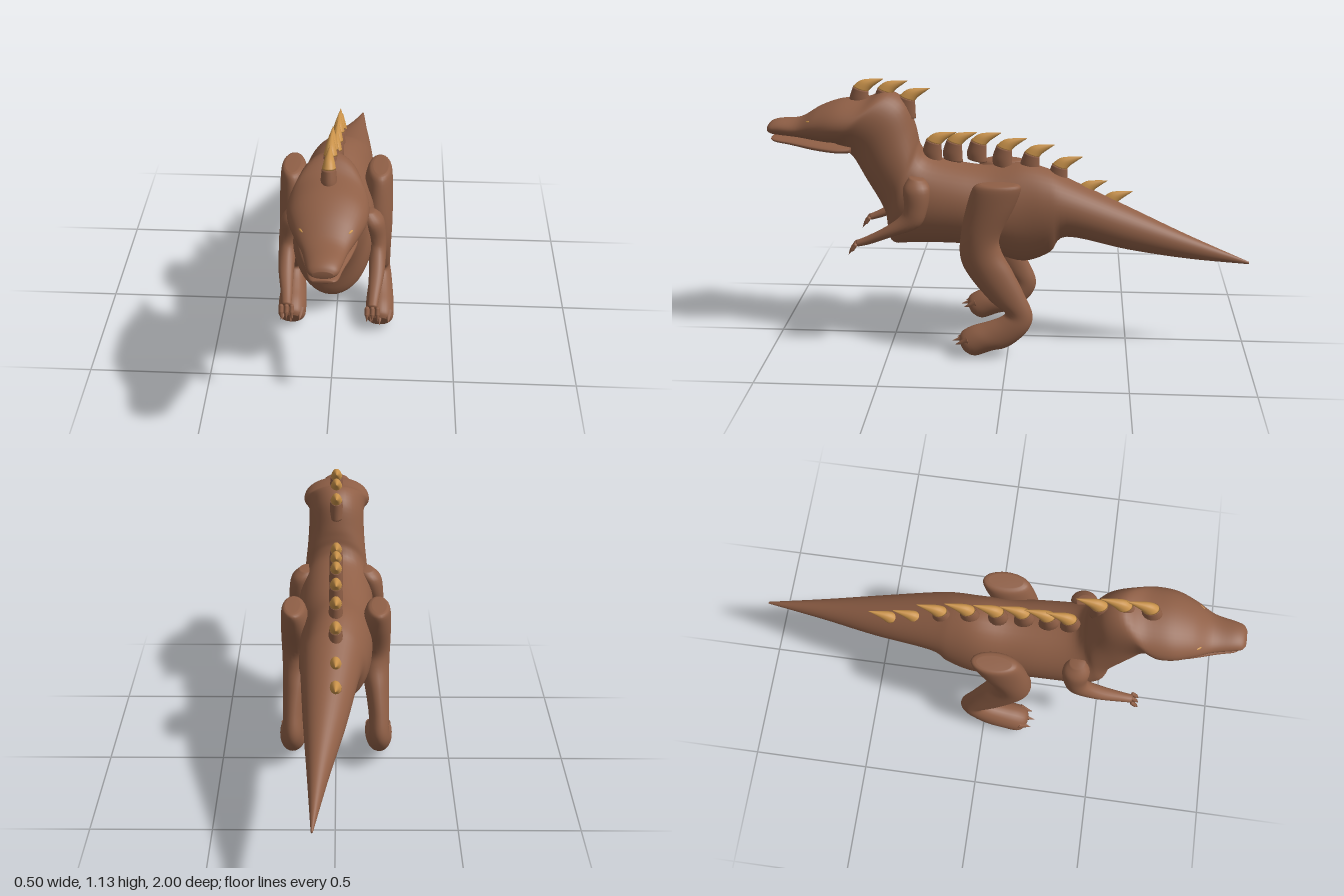
import * as THREE from 'three';

const brown = new THREE.MeshStandardMaterial({ color: 0x8f5f46 });
brown.name = 'brown skin';
const gold = new THREE.MeshStandardMaterial({ color: 0xc9924a });
gold.name = 'golden horn';

// Smooth skin over elliptical sections: [z1, y1, z2, y2, halfWidth, x],
// where the two points are the ends of the section in the side plane.
function loft(sections, sides = 28, steps = 5) {
  const n = sections.length, rows = [];
  const at = (i) => sections[Math.max(0, Math.min(n - 1, i))];
  for (let i = 0; i < n - 1; i++) {
    const last = i === n - 2;
    for (let k = 0; k < steps + (last ? 1 : 0); k++) {
      const t = k / steps;
      rows.push(at(i).map((b, d) => {
        const a = at(i - 1)[d], c = at(i + 1)[d], e = at(i + 2)[d];
        return b + 0.5 * t * (c - a + t * (2 * a - 5 * b + 4 * c - e + t * (3 * (b - c) + e - a)));
      }));
    }
  }
  const pos = [], index = [];
  for (const [z1, y1, z2, y2, w, x] of rows) {
    for (let j = 0; j < sides; j++) {
      const a = (j / sides) * Math.PI * 2, s = Math.sin(a) / 2;
      pos.push(x + Math.max(w, 0.001) * Math.cos(a), (y1 + y2) / 2 + (y1 - y2) * s, (z1 + z2) / 2 + (z1 - z2) * s);
    }
  }
  const m = rows.length;
  for (let i = 0; i < m - 1; i++) {
    for (let j = 0; j < sides; j++) {
      const k = (j + 1) % sides, a = i * sides, b = a + sides;
      index.push(a + j, a + k, b + j, a + k, b + k, b + j);
    }
  }
  // Close both ends
  for (const [row, flip] of [[0, true], [m - 1, false]]) {
    const [z1, y1, z2, y2, , x] = rows[row], c = pos.length / 3, o = row * sides;
    pos.push(x, (y1 + y2) / 2, (z1 + z2) / 2);
    for (let j = 0; j < sides; j++) {
      const k = (j + 1) % sides;
      index.push(c, o + (flip ? k : j), o + (flip ? j : k));
    }
  }
  const g = new THREE.BufferGeometry();
  g.setAttribute('position', new THREE.Float32BufferAttribute(pos, 3));
  g.setIndex(index);
  g.computeVertexNormals();
  return g;
}

function add(parent, name, geometry, material) {
  const mesh = new THREE.Mesh(geometry, material);
  mesh.name = name;
  parent.add(mesh);
  return mesh;
}

// Small cone claw from one point to another
function claw(parent, name, from, to, radius) {
  const a = new THREE.Vector3(...from), d = new THREE.Vector3(...to).sub(a);
  const mesh = add(parent, name, new THREE.ConeGeometry(radius, d.length(), 10), brown);
  mesh.position.copy(a).addScaledVector(d, 0.5);
  mesh.quaternion.setFromUnitVectors(new THREE.Vector3(0, 1, 0), d.normalize());
}

export function createModel() {
  const model = new THREE.Group();
  model.name = 'hornedReptile';

  // Tail, torso, neck and upper head in one skin
  add(model, 'body', loft([
    [-0.995, 0.405, -0.995, 0.395, 0.004, 0.08],
    [-0.74, 0.51, -0.74, 0.41, 0.042, 0.062],
    [-0.49, 0.62, -0.49, 0.44, 0.085, 0.04],
    [-0.24, 0.73, -0.24, 0.485, 0.122, 0.02],
    [-0.15, 0.77, -0.17, 0.41, 0.14, 0.01],
    [-0.05, 0.79, -0.06, 0.365, 0.15, 0],
    [0.08, 0.775, 0.07, 0.4, 0.155, 0],
    [0.2, 0.785, 0.2, 0.44, 0.16, 0],
    [0.33, 0.815, 0.4, 0.44, 0.16, 0],
    [0.37, 0.86, 0.5, 0.445, 0.145, 0],
    [0.38, 0.9, 0.525, 0.58, 0.135, 0],
    [0.39, 0.95, 0.6, 0.72, 0.125, 0],
    [0.425, 1.045, 0.65, 0.81, 0.12, 0],
    [0.5, 1.09, 0.69, 0.845, 0.125, 0],
    [0.585, 1.058, 0.72, 0.87, 0.145, 0],
    [0.69, 1.05, 0.76, 0.875, 0.14, 0],
    [0.78, 1.02, 0.82, 0.883, 0.113, 0],
    [0.865, 0.972, 0.88, 0.892, 0.08, 0],
    [0.95, 0.965, 0.95, 0.898, 0.062, 0],
    [0.985, 0.955, 0.985, 0.903, 0.052, 0],
    [1.0, 0.94, 1.0, 0.912, 0.035, 0],
  ], 40), brown);

  // Lower jaw
  add(model, 'lowerJaw', loft([
    [0.64, 0.88, 0.65, 0.835, 0.1, 0],
    [0.71, 0.88, 0.71, 0.835, 0.108, 0],
    [0.8, 0.886, 0.8, 0.843, 0.092, 0],
    [0.9, 0.892, 0.9, 0.86, 0.065, 0],
    [0.965, 0.895, 0.965, 0.87, 0.05, 0],
    [0.985, 0.893, 0.985, 0.88, 0.035, 0],
  ]), brown);

  for (const s of [1, -1]) {
    const side = s > 0 ? 'left' : 'right';

    // Leg and foot
    const leg = new THREE.Group();
    leg.name = side + 'Leg';
    model.add(leg);
    add(leg, side + 'LegSkin', loft([
      [0.11, 0.755, -0.03, 0.755, 0.03, 0.18],
      [0.14, 0.735, -0.055, 0.74, 0.05, 0.176],
      [0.17, 0.64, -0.03, 0.66, 0.062, 0.17],
      [0.19, 0.54, 0.03, 0.53, 0.068, 0.165],
      [0.195, 0.44, 0.025, 0.46, 0.066, 0.165],
      [0.16, 0.36, -0.02, 0.38, 0.055, 0.175],
      [0.07, 0.25, -0.07, 0.28, 0.045, 0.185],
      [0.01, 0.2, -0.105, 0.19, 0.042, 0.187],
      [0.03, 0.175, -0.085, 0.12, 0.047, 0.19],
      [0.09, 0.15, -0.01, 0.05, 0.056, 0.19],
      [0.15, 0.13, 0.06, 0.03, 0.06, 0.19],
      [0.19, 0.105, 0.13, 0.005, 0.058, 0.19],
      [0.2, 0.08, 0.17, 0.02, 0.04, 0.19],
    ].map((r) => [...r.slice(0, 5), r[5] * s])), brown);
    for (const [dx, reach] of [[-0.037, 0.215], [0, 0.23], [0.037, 0.215]]) {
      const x = s * (0.19 + dx);
      claw(leg, side + 'ToeClaw', [x, 0.085, 0.16], [x, 0.065, reach], 0.02);
    }

    // Arm with three clawed fingers
    const arm = new THREE.Group();
    arm.name = side + 'Arm';
    model.add(arm);
    add(arm, side + 'ArmSkin', loft([
      [0.4, 0.765, 0.34, 0.755, 0.03, 0.13],
      [0.425, 0.72, 0.315, 0.72, 0.045, 0.152],
      [0.42, 0.65, 0.325, 0.64, 0.04, 0.168],
      [0.435, 0.61, 0.36, 0.565, 0.035, 0.175],
      [0.5, 0.56, 0.46, 0.525, 0.03, 0.175],
      [0.58, 0.515, 0.56, 0.485, 0.022, 0.167],
      [0.625, 0.495, 0.615, 0.47, 0.018, 0.163],
    ].map((r) => [...r.slice(0, 5), r[5] * s]), 20), brown);
    for (const dx of [-0.02, 0, 0.02]) {
      const x = s * (0.163 + dx);
      const finger = add(arm, side + 'Finger', new THREE.CapsuleGeometry(0.009, 0.022, 4, 8), brown);
      finger.position.set(x, 0.472, 0.632);
      finger.rotation.x = -0.6;
      claw(arm, side + 'FingerClaw', [x, 0.465, 0.64], [x, 0.438, 0.655], 0.008);
    }

    // Narrow eye
    const eye = add(model, side + 'Eye', new THREE.SphereGeometry(1, 16, 10), gold);
    eye.scale.set(0.006, 0.006, 0.02);
    eye.position.set(s * 0.088, 0.973, 0.808);
    eye.rotation.y = -s * 0.5;
  }

  // Curved horns along head, back and tail, placed by tip [z, y]
  const root = [
    [0.06, -0.125, 0.14, -0.11, 0.028, 0],
    [0.062, -0.085, 0.142, -0.08, 0.029, 0],
    [0.062, -0.05, 0.125, -0.03, 0.025, 0],
  ];
  const tip = [
    [0.062, -0.05, 0.125, -0.03, 0.025, 0],
    [0.045, -0.032, 0.085, -0.003, 0.017, 0],
    [0, 0, 0.003, 0.002, 0.001, 0],
  ];
  const rootGeometry = loft(root, 16), tipGeometry = loft(tip, 16);
  const horns = [
    [0.515, 1.136], [0.415, 1.13], [0.325, 1.1], [0.22, 0.917], [0.135, 0.917], [0.035, 0.917],
    [-0.07, 0.895], [-0.185, 0.87], [-0.3, 0.82], [-0.405, 0.72], [-0.51, 0.675],
  ];
  for (const [z, y] of horns) {
    const horn = new THREE.Group();
    horn.name = 'horn';
    horn.position.set(0, y, z);
    add(horn, 'hornRoot', rootGeometry, brown);
    add(horn, 'hornTip', tipGeometry, gold);
    model.add(horn);
  }
  return model;
}
